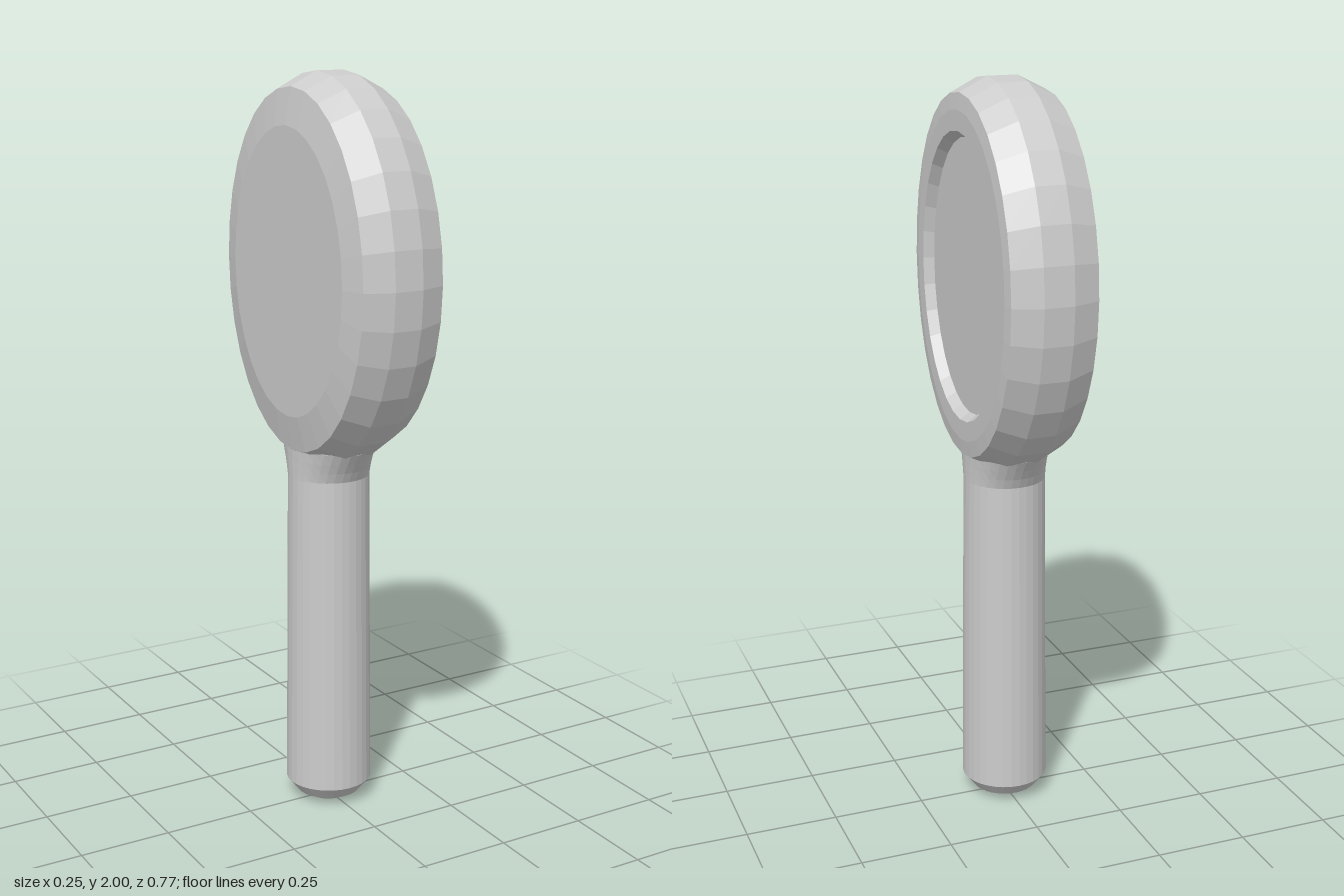
import * as THREE from 'three';

const SIDES = 32;
const flat = new THREE.MeshStandardMaterial({ color: 0xcccccc, flatShading: true });

// Revolve [radius, height] pairs, listed bottom to top, around y
function revolve(profile) {
  return new THREE.LatheGeometry(profile.map(([r, y]) => new THREE.Vector2(r, y)), SIDES);
}

// Oval solid whose axis lies along x; pairs are [half width in z, x]
function oval(profile) {
  return revolve(profile)
    .rotateZ(-Math.PI / 2)
    .scale(1, 0.51 / 0.385, 1)
    .translate(0, 1.49, 0);
}

function addPart(group, name, geometry) {
  const mesh = new THREE.Mesh(geometry, flat);
  mesh.name = name;
  group.add(mesh);
}

// Neck: elliptical rings that widen in z until they enter the head
function neckGeometry() {
  const rings = [
    // y, half width x, half width z
    [0.94, 0.11, 0.11],
    [0.968, 0.11, 0.123],
    [0.995, 0.11, 0.139],
    [1.025, 0.11, 0.158],
    [1.08, 0.1, 0.16],
  ];
  const geometry = revolve(rings.map(([y]) => [1, y]));
  const pos = geometry.attributes.position;
  for (let i = 0; i < pos.count; i++) {
    const [, rx, rz] = rings[i % rings.length];
    pos.setX(i, pos.getX(i) * rx);
    pos.setZ(i, pos.getZ(i) * rz);
  }
  geometry.computeVertexNormals();
  return geometry;
}

export function createModel() {
  const model = new THREE.Group();
  model.name = 'handMirror';

  // Faceted oval frame: closed back, rounded rim and recessed lip
  addPart(model, 'frame', oval([
    [0, -0.127], [0.285, -0.127], [0.357, -0.11], [0.385, -0.035], [0.385, 0.045],
    [0.357, 0.12], [0.325, 0.125], [0.285, 0.125], [0.272, 0.098],
  ]));

  // Glass at the bottom of the recess
  addPart(model, 'mirrorGlass', oval([[0.272, 0.098], [0, 0.098]]));

  addPart(model, 'neck', neckGeometry());

  // Slightly tapered handle with a blunt rounded end
  addPart(model, 'handle', revolve([
    [0, 0], [0.05, 0], [0.09, 0.022], [0.118, 0.058], [0.11, 0.94],
  ]));

  return model;
}
